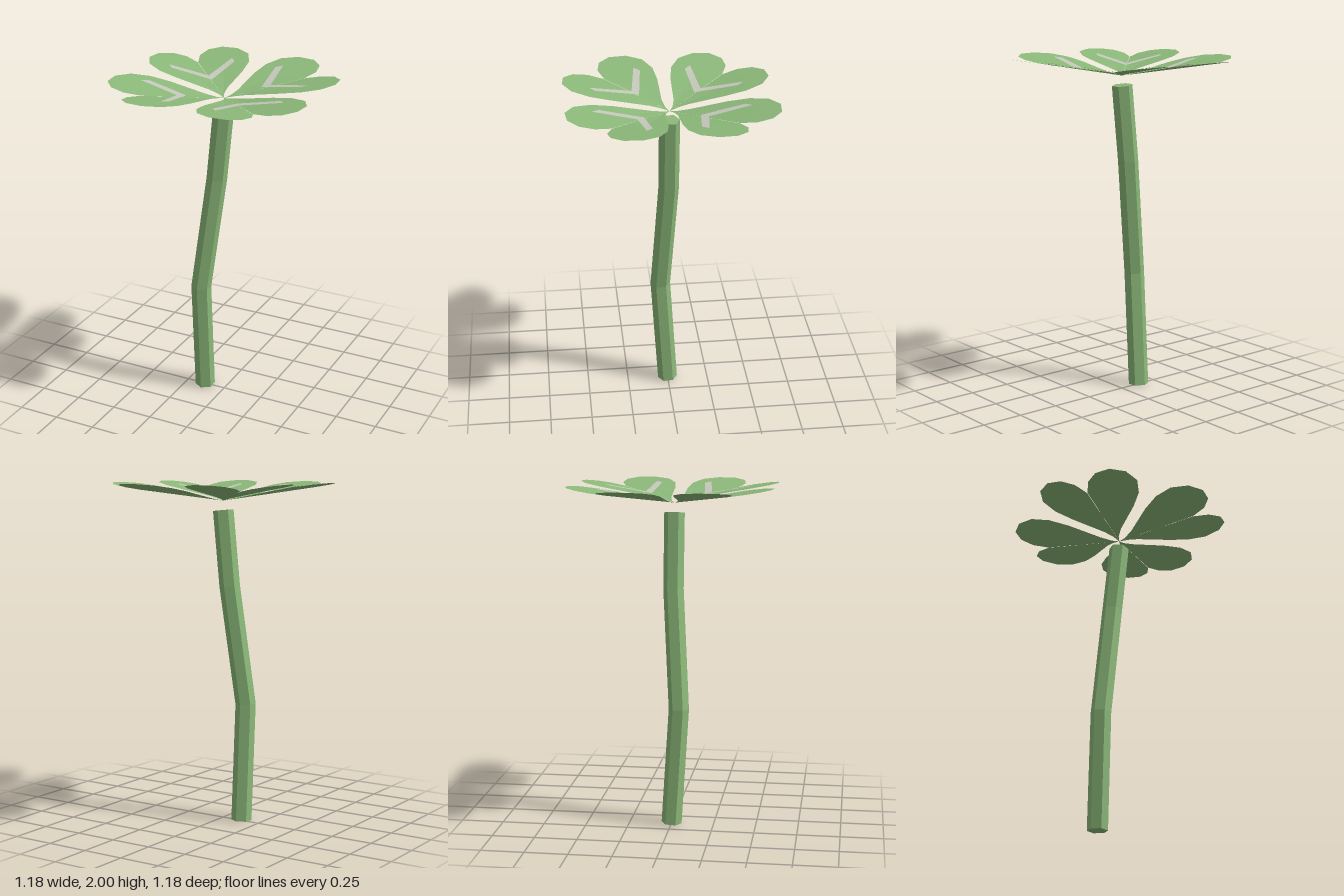
import * as THREE from 'three';
import { mergeVertices } from 'three/addons/utils/BufferGeometryUtils.js';

const green = new THREE.MeshStandardMaterial({ color: 0x8cb97a, side: THREE.DoubleSide });
green.name = 'leafGreen';
const stemGreen = new THREE.MeshStandardMaterial({ color: 0x8bb879, flatShading: true });
stemGreen.name = 'stemGreen';
const pale = new THREE.MeshStandardMaterial({ color: 0xc6c8bc, side: THREE.DoubleSide });
pale.name = 'paleMarking';

// Leaves rise gently away from the centre, folded along the diagonal
const rise = (x, z) => {
  const t = Math.max(x, z);
  return 1.895 + 0.21 * t - 0.055 * t * t;
};

// Turn a list of corner points (three per triangle) into a geometry
function fromCorners(points) {
  let geo = new THREE.BufferGeometry().setFromPoints(points);
  geo = mergeVertices(geo, 1e-5);
  geo.computeVertexNormals();
  return geo;
}

// Fan of triangles around a hub, plus its mirror image across the diagonal
function mirroredFan(hub, outline, lift) {
  const at = ([x, z]) => new THREE.Vector3(x, rise(x, z) + lift, z);
  const swap = ([x, z]) => [z, x];
  const pts = [];
  outline.forEach((a, i) => {
    const b = outline[(i + 1) % outline.length];
    if (a === hub || b === hub) return;
    pts.push(at(hub), at(a), at(b));
    pts.push(at(swap(hub)), at(swap(b)), at(swap(a)));
  });
  return fromCorners(pts);
}

function leafGeometry() {
  // One lobe, from the stalk around to the notch
  const lobe = [
    [0, 0], [0.02, 0.035], [0.034, 0.11], [0.038, 0.32], [0.055, 0.442], [0.107, 0.54],
    [0.2, 0.59], [0.3, 0.58], [0.363, 0.52], [0.376, 0.435], [0.343, 0.345],
  ];
  return mirroredFan([0.2, 0.4], lobe, 0);
}

function markingGeometry() {
  // One arm of the V; its mirror makes the other
  const inner = [0.157, 0.157];
  return mirroredFan(inner, [inner, [0.131, 0.405], [0.166, 0.44], [0.197, 0.197]], 0.008);
}

// Six-sided stem lofted through rings that tilt with the path
function stemGeometry() {
  const sides = 6, r = 0.06;
  // x, y, z of the centre, then tilt of the ring in x and z
  const rings = [
    [-0.132, 0.004, 0, 0, 0.06],
    [-0.132, 0.7, 0.043, 0.06, 0],
    [-0.047, 1.4, 0, 0.11, -0.03],
    [-0.002, 1.84, 0, 0.1, 0],
  ].map(([cx, cy, cz, tx, tz]) => ({
    centre: new THREE.Vector3(cx, cy, cz),
    points: Array.from({ length: sides }, (_, i) => {
      const a = (i / sides) * Math.PI * 2;
      const x = r * Math.sin(a), z = r * Math.cos(a);
      return new THREE.Vector3(cx + x, cy - tx * x - tz * z, cz + z);
    }),
  }));
  const pts = [];
  const first = rings[0], last = rings[rings.length - 1];
  for (let i = 0; i < sides; i++) {
    const j = (i + 1) % sides;
    for (let k = 0; k < rings.length - 1; k++) {
      const lo = rings[k].points, hi = rings[k + 1].points;
      pts.push(lo[i], lo[j], hi[j], lo[i], hi[j], hi[i]);
    }
    pts.push(first.centre, first.points[j], first.points[i]);
    pts.push(last.centre, last.points[i], last.points[j]);
  }
  const geo = new THREE.BufferGeometry().setFromPoints(pts);
  geo.computeVertexNormals();
  return geo;
}

export function createModel() {
  const model = new THREE.Group();
  model.name = 'fourLeafClover';

  const stem = new THREE.Mesh(stemGeometry(), stemGreen);
  stem.name = 'stem';
  model.add(stem);

  // Four heart-shaped leaves, each with a pale V marking
  const leafGeo = leafGeometry(), markGeo = markingGeometry();
  for (let i = 0; i < 4; i++) {
    const group = new THREE.Group();
    group.name = `leafGroup${i + 1}`;
    const leaf = new THREE.Mesh(leafGeo, green);
    leaf.name = 'leaf';
    const marking = new THREE.Mesh(markGeo, pale);
    marking.name = 'leafMarking';
    group.add(leaf, marking);
    group.rotation.y = (i * Math.PI) / 2;
    model.add(group);
  }
  return model;
}
